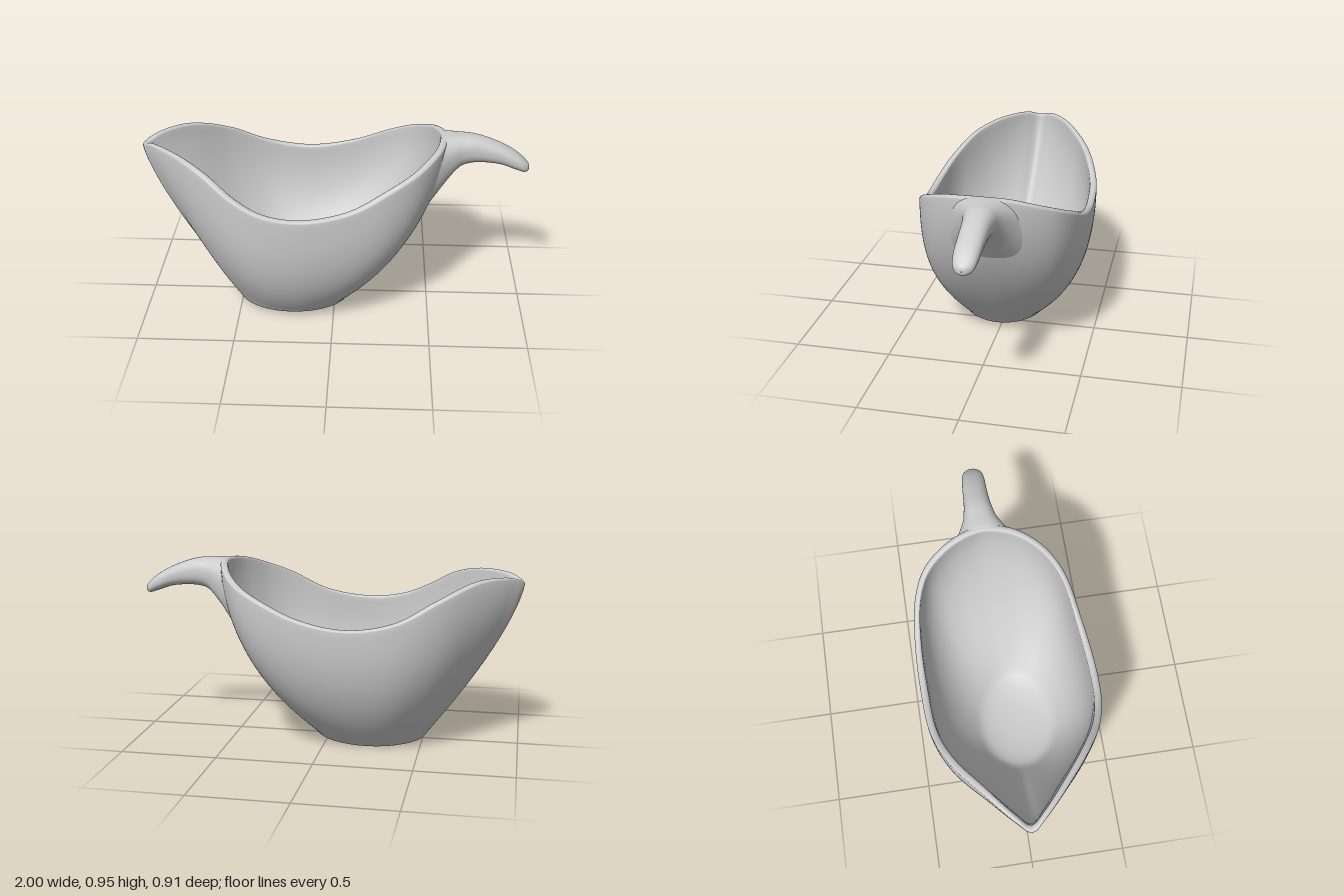
import * as THREE from 'three';

const V = (x, y, z) => new THREE.Vector3(x, y, z);
const mix = THREE.MathUtils.lerp;

// Skin a list of closed rings (equal point counts) with smooth normals.
function loft(rings) {
  const n = rings[0].length, index = [];
  for (let v = 0; v < rings.length - 1; v++) {
    for (let u = 0; u < n; u++) {
      const a = v * n + u, b = v * n + (u + 1) % n;
      index.push(a, a + n, b, b, a + n, b + n);
    }
  }
  const geometry = new THREE.BufferGeometry().setFromPoints(rings.flat());
  geometry.setIndex(index);
  geometry.computeVertexNormals();
  return geometry;
}

// Outer rim: spout tip, along the back to the handle, and along the front again.
const rimPoints = [
  V(-1, 0.86, -0.02), V(-0.95, 0.885, -0.085), V(-0.8, 0.887, -0.215), V(-0.6, 0.805, -0.36),
  V(-0.4, 0.705, -0.435), V(-0.15, 0.665, -0.455), V(0.1, 0.705, -0.449), V(0.3, 0.785, -0.415),
  V(0.42, 0.84, -0.355), V(0.5, 0.885, -0.26), V(0.55, 0.92, -0.15), V(0.575, 0.933, -0.03),
  V(0.55, 0.922, 0.11), V(0.5, 0.9, 0.205), V(0.42, 0.86, 0.295), V(0.3, 0.805, 0.365),
  V(0.1, 0.705, 0.415), V(-0.15, 0.665, 0.447), V(-0.35, 0.69, 0.442), V(-0.5, 0.755, 0.4),
  V(-0.65, 0.842, 0.31), V(-0.8, 0.885, 0.19), V(-0.95, 0.885, 0.05),
];
const rim = new THREE.CatmullRomCurve3(rimPoints, true);
const HANDLE_POINT = 11; // rim point where the handle grows
const WALL = 0.038, LIP = 0.013;

// Everything needed to draw the wall below one rim point.
function makeSpoke(p) {
  const dx = p.x + 0.21;
  const angle = Math.atan2(p.z / 0.45, dx / 0.79);
  const c = Math.cos(angle), s = Math.sin(angle);
  // wall bulge: strong at the sides, nearly straight under the spout
  const bulge = mix(c < 0 ? 1.35 : 1.75, s < 0 ? 2.5 : 2.9, Math.pow(Math.abs(s), 1.6));
  const k = 1 - WALL / Math.hypot(dx, p.z);
  return { p, c, s, bulge, inner: V(-0.21 + dx * k, p.y, p.z * k) };
}

// Ellipse in the slightly tilted base plane.
const base = (scale, lift) => ({ c, s }) => {
  const z = 0.035 + 0.235 * scale * s;
  return V(-0.22 + 0.3 * scale * c, 0.0115 + 0.055 * z + lift, z);
};

function wallPoint(from, to, t, bulge) {
  const f = 1 - Math.pow(1 - t, bulge);
  return V(mix(from.x, to.x, f), mix(from.y, to.y, t), mix(from.z, to.z, f));
}
const footEdge = base(1, 0.014), floorEdge = base(0.93, 0.115);
const outerWall = (q, t) => wallPoint(footEdge(q), q.p, t, q.bulge);

function bodyGeometry() {
  const N = 160, rings = [];
  const spokes = Array.from({ length: N }, (_, i) => makeSpoke(rim.getPointAt(i / N)));
  const add = (fn) => rings.push(spokes.map(fn));

  // recessed underside and rounded foot ring
  [[0, 0.04], [0.4, 0.04], [0.72, 0.04], [0.77, 0.034], [0.81, 0.015], [0.85, 0.003],
    [0.9, 0], [0.95, 0.001], [0.985, 0.005]].forEach(([r, y]) => add(base(r, y)));

  // outer wall
  for (let j = 0; j <= 28; j++) add((q) => outerWall(q, j / 28));

  // rounded lip
  for (let j = 1; j < 6; j++) {
    const a = Math.PI * j / 6;
    add((q) => {
      const m = q.p.clone().lerp(q.inner, (1 - Math.cos(a)) / 2);
      m.y += LIP * Math.sin(a);
      return m;
    });
  }
  // inner wall and rounded floor
  for (let j = 28; j >= 0; j--) {
    add((q) => wallPoint(floorEdge(q), q.inner, j / 28, q.bulge));
  }
  [[0.85, 0.098], [0.75, 0.085], [0.62, 0.075], [0.45, 0.066], [0.25, 0.061], [0, 0.059]]
    .forEach(([r, y]) => add(base(r, y)));
  return loft(rings);
}

function handleGeometry() {
  // stations: x, top y, bottom y, back z, front z
  const stations = [
    [0.64, 0.948, 0.778, -0.12, 0.062], [0.69, 0.946, 0.796, -0.108, 0.046],
    [0.75, 0.933, 0.8, -0.1, 0.036], [0.85, 0.895, 0.79, -0.094, 0.031],
    [0.93, 0.85, 0.763, -0.087, 0.029], [0.975, 0.812, 0.749, -0.074, 0.018],
    [0.995, 0.79, 0.754, -0.05, -0.004], [1, 0.774, 0.77, -0.029, -0.025],
  ];
  const N = 72, M = 72;
  const soft = (v, power) => Math.sign(v) * Math.pow(Math.abs(v), power);
  const strands = Array.from({ length: N }, (_, i) => {
    const a = (i / N) * Math.PI * 2, c = Math.cos(a), s = Math.sin(a);
    // flared root lying on the outer wall and lip, its edge sunk beneath the surface
    const root = (scale, sink) => {
      const u = (HANDLE_POINT + 1.5 * scale * soft(c, 0.8)) / rimPoints.length;
      const t = Math.min(1, 0.82 + 0.18 * scale * soft(s, 0.6));
      const p = outerWall(makeSpoke(rim.getPoint(u)), t);
      const crest = Math.sqrt(Math.max(0, s));
      return V(p.x - sink - crest * WALL / 2, p.y + crest * (LIP - sink), p.z);
    };
    const points = stations.map(([x, top, bottom, back, front]) => V(x,
      (top + bottom) / 2 + (top - bottom) / 2 * soft(s, 0.85),
      (back + front) / 2 + (front - back) / 2 * soft(c, 0.85)));
    return new THREE.CatmullRomCurve3([root(1.25, 0.014), root(1, 0), ...points]);
  });
  const rings = [];
  for (let j = 0; j <= M; j++) rings.push(strands.map((strand) => strand.getPoint(j / M)));
  return loft(rings);
}

export function createModel() {
  const group = new THREE.Group();
  group.name = 'sauceBoat';
  const material = new THREE.MeshStandardMaterial({ color: 0xcccccc });
  const add = (name, geometry) => {
    const mesh = new THREE.Mesh(geometry, material);
    mesh.name = name;
    group.add(mesh);
  };
  add('body', bodyGeometry());
  add('handle', handleGeometry());
  return group;
}
